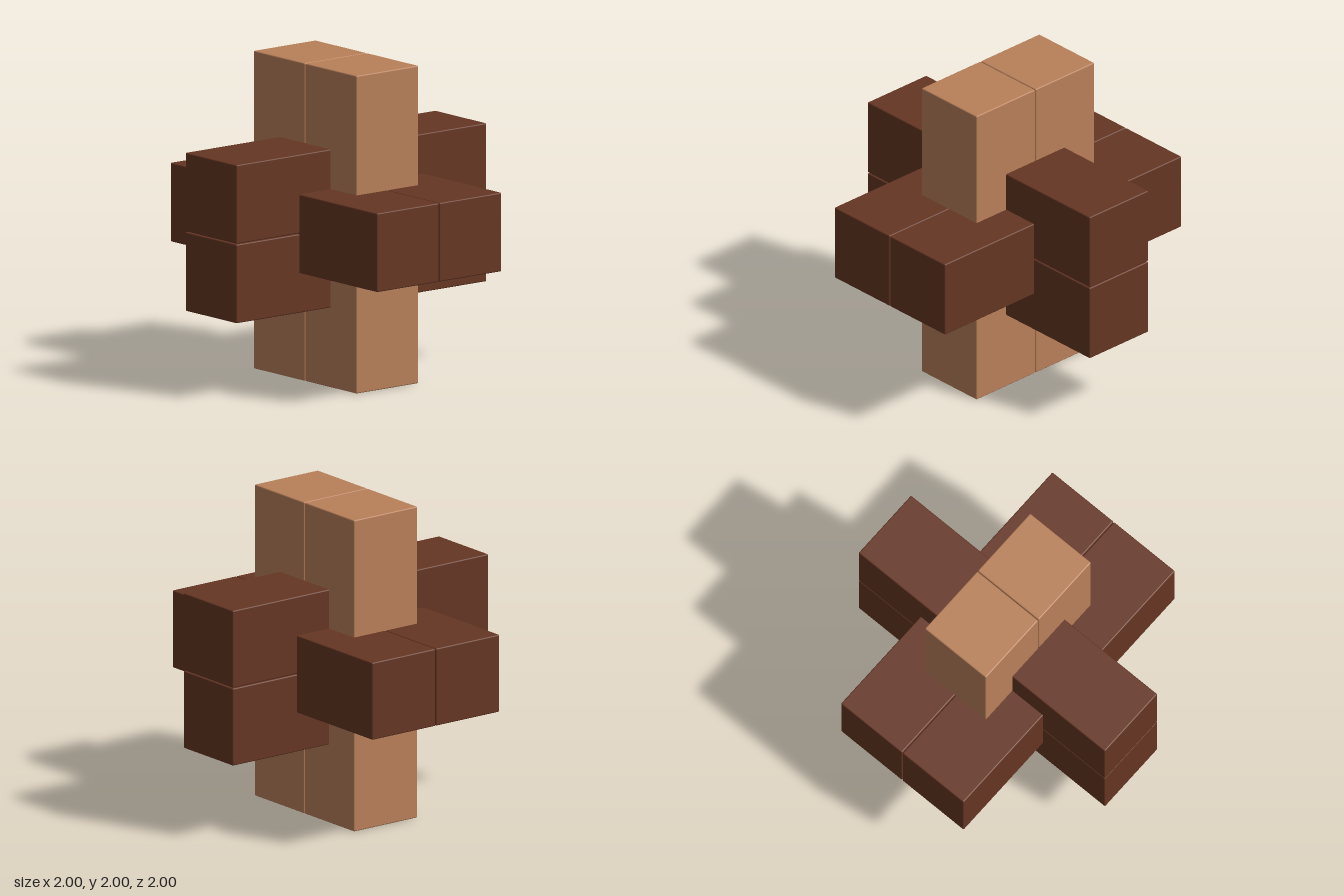
import * as THREE from 'three';
import { RoundedBoxGeometry } from 'three/addons/geometries/RoundedBoxGeometry.js';

export function createModel() {
  const model = new THREE.Group();
  model.name = 'burrPuzzle';

  const lightWood = new THREE.MeshStandardMaterial({ color: 0xb9805a });
  lightWood.name = 'light wood';
  const darkWood = new THREE.MeshStandardMaterial({ color: 0x663623 });
  darkWood.name = 'dark wood';

  // One bar with softened edges, a hair slimmer than its slot to leave a seam
  const length = 2, side = 0.496, bevel = 0.008;
  const barGeometry = new RoundedBoxGeometry(side, length, side, 2, bevel);

  // Three interlocking pairs of bars, each pair lying along one axis
  const pairs = [
    { name: 'uprightBar', material: lightWood, turn: [0, 0, 0], offset: [0, 0, 0.25] },
    { name: 'crossBar', material: darkWood, turn: [0, 0, Math.PI / 2], offset: [0, 0.25, 0] },
    { name: 'depthBar', material: darkWood, turn: [Math.PI / 2, 0, 0], offset: [0.25, 0, 0] },
  ];

  for (const { name, material, turn, offset } of pairs) {
    const pair = new THREE.Group();
    pair.name = name + 'Pair';
    pair.position.y = 1;
    for (const sign of [1, -1]) {
      const bar = new THREE.Mesh(barGeometry, material);
      bar.name = name;
      bar.rotation.set(...turn);
      bar.position.set(...offset).multiplyScalar(sign);
      pair.add(bar);
    }
    model.add(pair);
  }

  return model;
}
